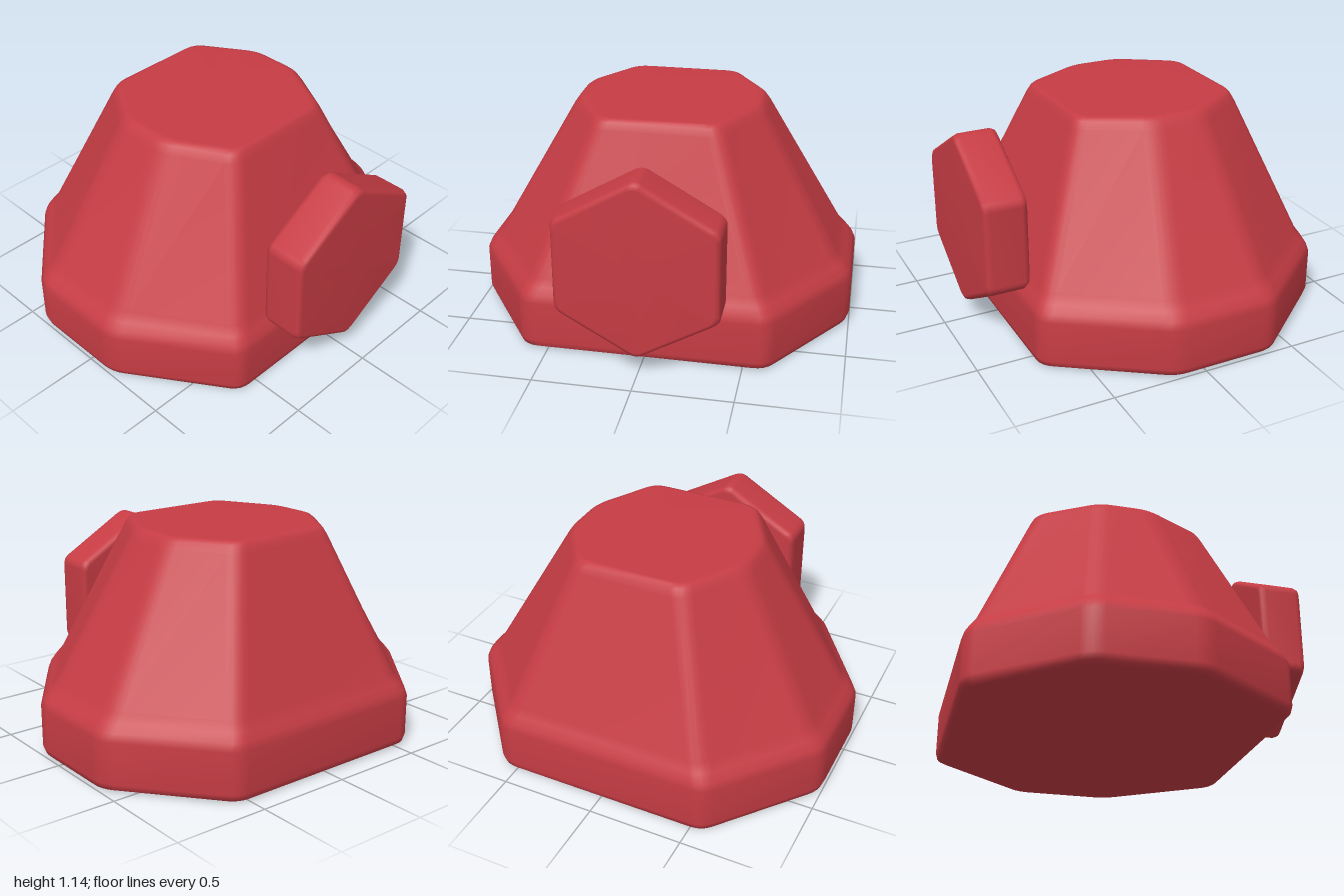
import * as THREE from 'three';

// Softens the corners of a polygon of [x, z] points with small curves
function roundCorners(corners, trim, steps = 4) {
  const pts = corners.map(([x, z]) => new THREE.Vector2(x, z));
  const out = [];
  pts.forEach((p, i) => {
    const toward = (q) => p.clone().add(q.clone().sub(p).setLength(trim));
    const prev = pts[(i + pts.length - 1) % pts.length];
    const next = pts[(i + 1) % pts.length];
    const curve = new THREE.QuadraticBezierCurve(toward(prev), p, toward(next));
    out.push(...curve.getPoints(steps));
  });
  return out;
}

// Closed solid through stacked cross-sections, each { y, ring }
function loft(sections) {
  const n = sections[0].ring.length;
  const positions = [];
  const index = [];
  for (const { y, ring } of sections) for (const p of ring) positions.push(p.x, y, p.y);
  for (let s = 0; s < sections.length - 1; s++) {
    for (let i = 0; i < n; i++) {
      const a = s * n + i, b = s * n + (i + 1) % n;
      index.push(a, a + n, b, b, a + n, b + n);
    }
  }
  // flat end caps
  const last = (sections.length - 1) * n;
  const capCentre = ({ y, ring }) => {
    const c = ring.reduce((sum, p) => sum.add(p), new THREE.Vector2()).divideScalar(n);
    positions.push(c.x, y, c.y);
    return positions.length / 3 - 1;
  };
  const bottom = capCentre(sections[0]);
  const top = capCentre(sections[sections.length - 1]);
  for (let i = 0; i < n; i++) {
    const j = (i + 1) % n;
    index.push(bottom, i, j, top, last + j, last + i);
  }
  const geo = new THREE.BufferGeometry();
  geo.setAttribute('position', new THREE.Float32BufferAttribute(positions, 3));
  geo.setIndex(index);
  geo.computeVertexNormals();
  return geo;
}

// Completes a half outline (back to front on +x) by mirroring it
const mirrored = (half) => [...half, ...half.slice().reverse().map(([x, z]) => [-x, z])];

export function createModel() {
  const model = new THREE.Group();
  const red = new THREE.MeshStandardMaterial({ color: 0xc63c44 });
  red.name = 'red';

  // Tapered eight-sided body with a short upright skirt
  const baseOutline = mirrored([[0.57, -0.9], [1, -0.38], [1, 0.16], [0.62, 0.72]]);
  const topOutline = mirrored([[0.3, -0.555], [0.51, -0.24], [0.51, 0.04], [0.32, 0.385]]);
  // [height, blend from base to top outline]
  const profile = [
    [0, 0.08], [0.012, 0.025], [0.045, 0], [0.26, 0], [0.3, 0.035], [0.34, 0.1],
    [0.385, 0.184], [1.09, 1], [1.125, 1.05], [1.14, 1.09], [1.143, 1.14],
  ];
  const body = new THREE.Mesh(loft(profile.map(([y, t]) => ({
    y,
    ring: roundCorners(baseOutline.map(([x, z], i) => [
      THREE.MathUtils.lerp(x, topOutline[i][0], t),
      THREE.MathUtils.lerp(z, topOutline[i][1], t),
    ]), 0.06),
  }))), red);
  body.name = 'taperedBody';
  model.add(body);

  // Hexagonal plate standing in front of the body
  const hexagon = (r) => Array.from({ length: 6 }, (_, i) => {
    const a = Math.PI / 6 + i * Math.PI / 3;
    return [r * Math.cos(a), r * Math.sin(a)];
  });
  const plateProfile = [
    [0, 0.44], [0.01, 0.462], [0.035, 0.473], [0.197, 0.473], [0.222, 0.462], [0.232, 0.44],
  ];
  const plate = new THREE.Mesh(loft(plateProfile.map(([y, r]) => ({
    y, ring: roundCorners(hexagon(r), 0.035),
  }))), red);
  plate.name = 'hexagonalFrontPlate';
  plate.rotation.x = Math.PI / 2;
  plate.position.set(0, 0.575, 0.662);
  model.add(plate);

  return model;
}
